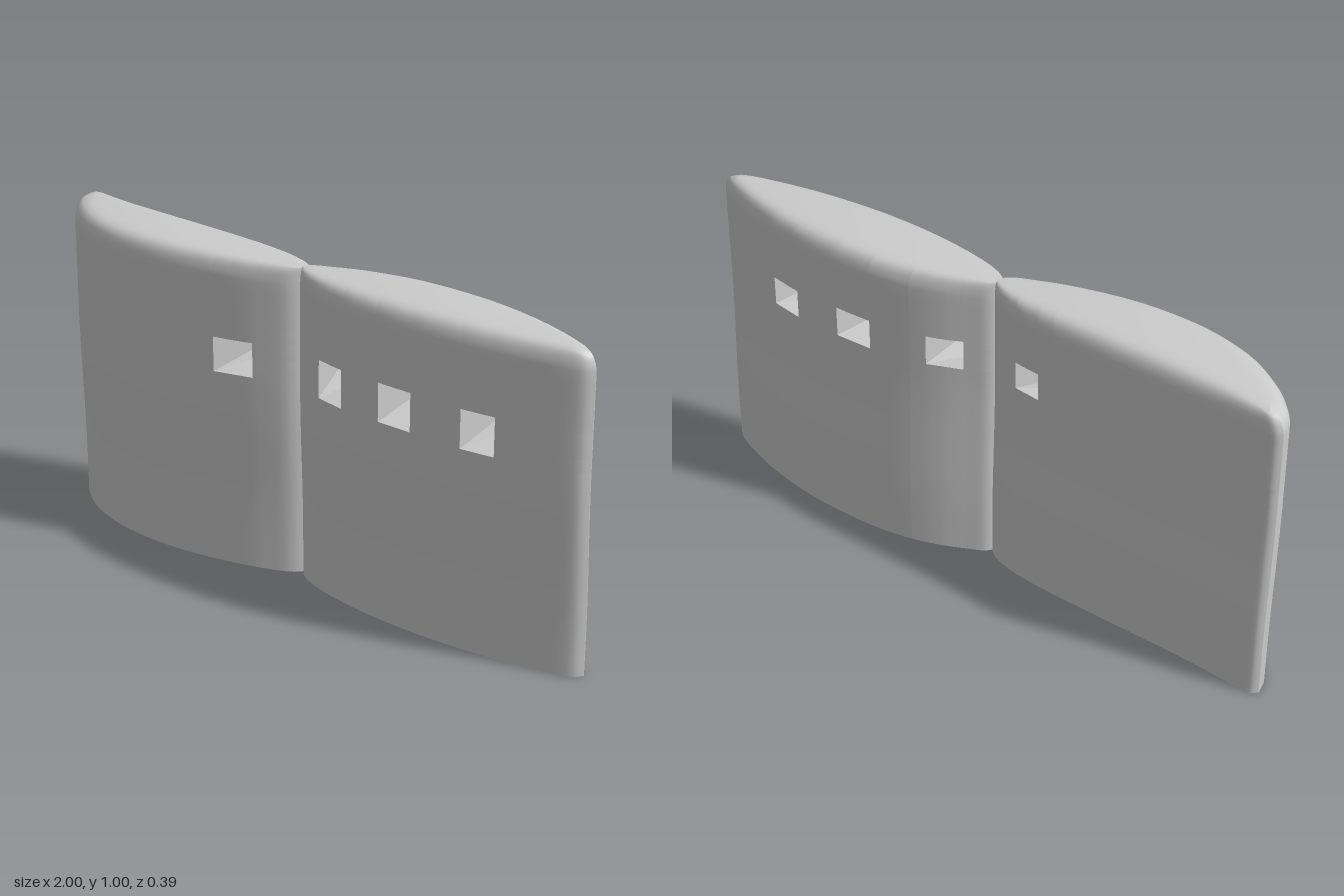
import * as THREE from 'three';
import { mergeVertices } from 'three/addons/utils/BufferGeometryUtils.js';

const material = new THREE.MeshStandardMaterial({ color: 0xcccccc, side: THREE.DoubleSide });

// Vertical rows: [height, inset] - straight wall, rounded shoulder, cap to the centreline
const SHOULDER = [[0.94, 0], [0.955, 0.003], [0.97, 0.008], [0.983, 0.016], [0.992, 0.028],
  [0.997, 0.045], [0.999, 0.07], [1, 0.13]];

// The wall sways gently forward from bottom to top
const sway = (y) => -0.013 * (1 - THREE.MathUtils.smoothstep(y, 0.12, 0.65));

// Plan outline as a lookup z(x), through a few points from tip to tip
function outline(points) {
  const curve = new THREE.CatmullRomCurve3(points.map(([x, z]) => new THREE.Vector3(x, 0, z)));
  const samples = curve.getPoints(400);
  return (x) => {
    if (x <= samples[0].x) return samples[0].z;
    for (let i = 1; i < samples.length; i++) {
      const a = samples[i - 1], b = samples[i];
      if (b.x >= x && b.x > a.x) return THREE.MathUtils.lerp(a.z, b.z, (x - a.x) / (b.x - a.x));
    }
    return samples[samples.length - 1].z;
  };
}

const sorted = (list) => [...list].sort((a, b) => a - b)
  .filter((v, i, all) => i === 0 || v - all[i - 1] > 1e-5);

// Hollow shell, open below, with a front and back sheet pierced by the windows
function makeShell(front, back, x0, x1, windows) {
  const N = 44;
  const xs = Array.from({ length: N + 1 }, (_, i) =>
    x0 + (x1 - x0) * (1 - Math.cos((Math.PI * i) / N)) / 2);
  const ys = Array.from({ length: 19 }, (_, i) => i * 0.05);
  for (const w of windows) {
    for (const o of [w.front, w.back]) {
      xs.push(o[0], o[1]);
      ys.push(o[2], o[3]);
    }
  }
  const columns = sorted(xs);
  const rows = [...sorted(ys).map((y) => [y, 0]), ...SHOULDER];
  const positions = [], index = [];

  [front, back].forEach((wall, side) => {
    const start = positions.length / 3;
    for (const [y, inset] of rows) {
      for (const x of columns) {
        const mid = (front(x) + back(x)) / 2;
        const z = mid + (wall(x) - mid) * (1 - inset / 0.13);
        const droop = y > 0.9 ? 0.012 * ((Math.abs(x) - 0.5) / 0.5) ** 2 : 0;
        positions.push(x * (1 - Math.min(inset, 0.05)), y - droop, z + sway(y));
      }
    }
    const W = columns.length;
    for (let r = 0; r < rows.length - 1; r++) {
      for (let c = 0; c < W - 1; c++) {
        const cx = (columns[c] + columns[c + 1]) / 2;
        const cy = (rows[r][0] + rows[r + 1][0]) / 2;
        const open = windows.some((w) => {
          const o = side ? w.back : w.front;
          return cx > o[0] && cx < o[1] && cy > o[2] && cy < o[3];
        });
        if (open) continue;
        const a = start + r * W + c, b = a + 1, d = a + W, e = d + 1;
        if (side) index.push(a, d, b, b, d, e);
        else index.push(a, b, d, b, e, d);
      }
    }
  });

  let geometry = new THREE.BufferGeometry();
  geometry.setAttribute('position', new THREE.Float32BufferAttribute(positions, 3));
  geometry.setIndex(index);
  geometry = mergeVertices(geometry, 1e-5);
  geometry.computeVertexNormals();
  return new THREE.Mesh(geometry, material);
}

// Slanted square tunnel joining a front opening to its back opening
function makeTunnel(front, back, w) {
  const corners = ([l, r, b, t], wall) => [[l, b], [r, b], [r, t], [l, t]]
    .map(([x, y]) => [x, y, wall(x) + sway(y)]);
  const f = corners(w.front, front), k = corners(w.back, back);
  const positions = [];
  for (let i = 0; i < 4; i++) {
    const j = (i + 1) % 4;
    positions.push(...f[i], ...f[j], ...k[j], ...f[i], ...k[j], ...k[i]);
  }
  const geometry = new THREE.BufferGeometry();
  geometry.setAttribute('position', new THREE.Float32BufferAttribute(positions, 3));
  geometry.computeVertexNormals();
  return new THREE.Mesh(geometry, material);
}

// Openings are [left, right, bottom, top]
const PANELS = [
  {
    name: 'rightPanel',
    front: [[-1, -0.025], [-0.985, 0.025], [-0.95, 0.065], [-0.9, 0.105], [-0.8, 0.158], [-0.7, 0.184],
      [-0.58, 0.195], [-0.4, 0.178], [-0.2, 0.122], [-0.1, 0.08], [-0.03, 0.04], [0.005, -0.01]],
    back: [[-1, -0.025], [-0.985, -0.042], [-0.94, -0.047], [-0.8, -0.047], [-0.6, -0.054], [-0.4, -0.064],
      [-0.2, -0.07], [-0.1, -0.063], [-0.03, -0.042], [0.005, -0.01]],
    windows: [{ front: [-0.25, -0.13, 0.63, 0.74], back: [-0.205, -0.12, 0.69, 0.78] }],
  },
  {
    name: 'leftPanel',
    front: [[-0.02, -0.005], [0, 0.026], [0.05, 0.05], [0.15, 0.07], [0.3, 0.078], [0.5, 0.066],
      [0.7, 0.033], [0.85, -0.006], [0.95, -0.04], [0.985, -0.06], [1, -0.085]],
    back: [[-0.02, -0.005], [0, -0.04], [0.05, -0.07], [0.15, -0.12], [0.3, -0.165], [0.5, -0.185],
      [0.65, -0.182], [0.8, -0.16], [0.92, -0.127], [0.98, -0.102], [1, -0.085]],
    windows: [
      { front: [0.115, 0.215, 0.63, 0.75], back: [0.065, 0.168, 0.675, 0.775] },
      { front: [0.36, 0.475, 0.635, 0.755], back: [0.345, 0.465, 0.675, 0.775] },
      { front: [0.64, 0.745, 0.63, 0.75], back: [0.622, 0.725, 0.67, 0.765] },
    ],
  },
];

export function createModel() {
  const model = new THREE.Group();
  model.name = 'piercedWall';
  for (const p of PANELS) {
    const group = new THREE.Group();
    group.name = p.name;
    const front = outline(p.front), back = outline(p.back);
    const shell = makeShell(front, back, p.front[0][0], p.front[p.front.length - 1][0], p.windows);
    shell.name = 'shell';
    group.add(shell);
    p.windows.forEach((w, i) => {
      const tunnel = makeTunnel(front, back, w);
      tunnel.name = `windowTunnel${i + 1}`;
      group.add(tunnel);
    });
    model.add(group);
  }
  return model;
}
